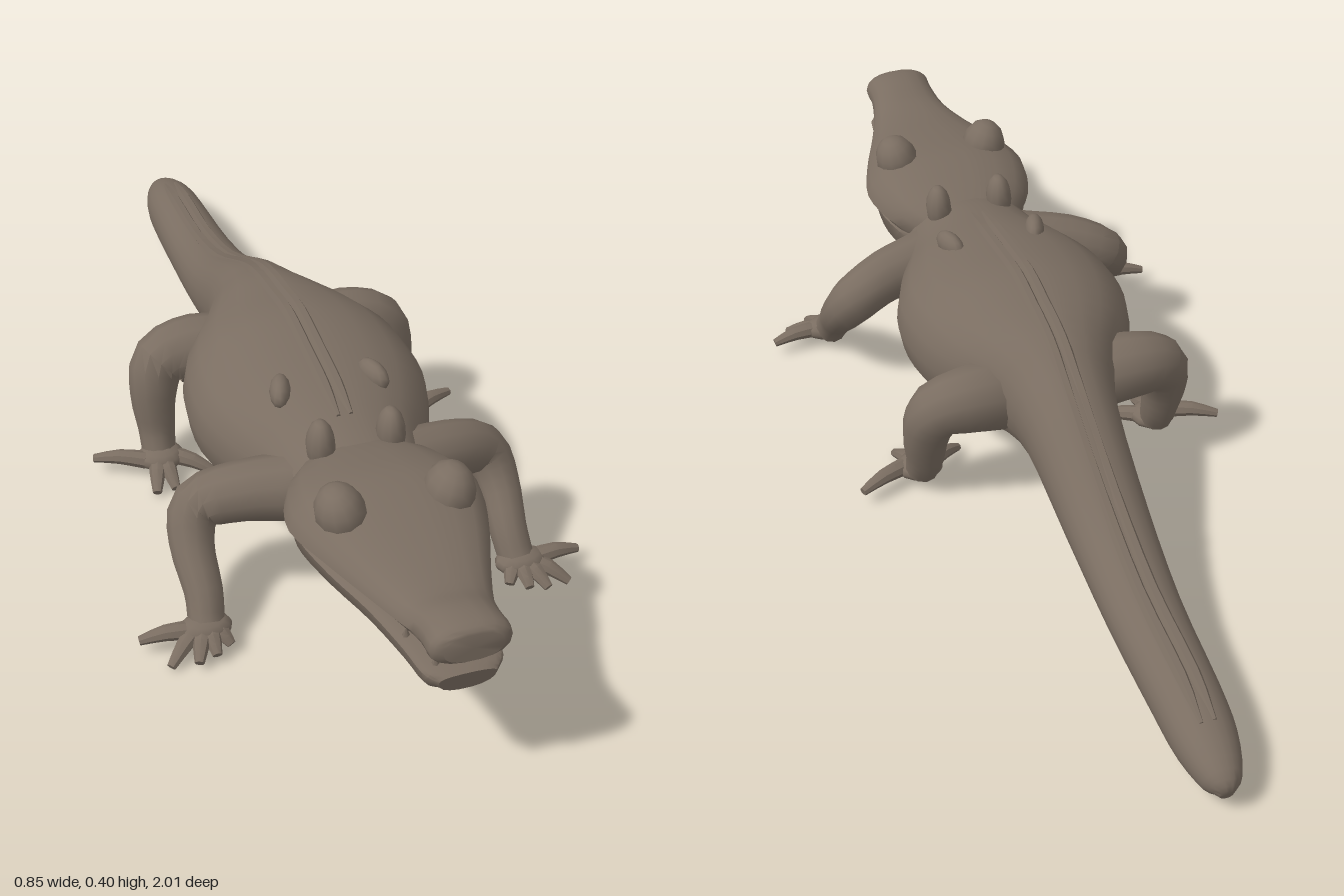
import * as THREE from 'three';
import { toCreasedNormals } from 'three/addons/utils/BufferGeometryUtils.js';

const UP = new THREE.Vector3(0, 1, 0);
const LEG_REF = new THREE.Vector3(0, 0.7, 1).normalize();

// Smooth skin through keys [x, y, z, halfWidth, heightAbove, depthBelow]
function loft(keys, { ref = UP, sides = 16, steps = 3, power = 1 } = {}) {
  const path = new THREE.CatmullRomCurve3(keys.map(k => new THREE.Vector3(k[0], k[1], k[2])), false, 'catmullrom', 0.5);
  const size = new THREE.CatmullRomCurve3(keys.map(k => new THREE.Vector3(k[3], k[4] ?? k[3], k[5] ?? k[4] ?? k[3])), false, 'catmullrom', 0.5);
  const rings = (keys.length - 1) * steps;
  const pos = [], idx = [];
  const soft = v => Math.sign(v) * Math.pow(Math.abs(v), power);
  for (let i = 0; i <= rings; i++) {
    const t = i / rings;
    const p = path.getPoint(t), r = size.getPoint(t), dir = path.getTangent(t);
    const side = new THREE.Vector3().crossVectors(ref, dir).normalize();
    const up = new THREE.Vector3().crossVectors(dir, side);
    for (let j = 0; j < sides; j++) {
      const a = j / sides * Math.PI * 2, s = soft(Math.sin(a));
      const q = p.clone().addScaledVector(side, soft(Math.cos(a)) * r.x).addScaledVector(up, s * (s > 0 ? r.y : r.z));
      pos.push(q.x, q.y, q.z);
    }
  }
  for (let i = 0; i < rings; i++) for (let j = 0; j < sides; j++) {
    const a = i * sides + j, b = i * sides + (j + 1) % sides;
    idx.push(a, b, a + sides, b, b + sides, a + sides);
  }
  // end caps
  const first = pos.length / 3, last = rings * sides;
  pos.push(...keys[0].slice(0, 3), ...keys[keys.length - 1].slice(0, 3));
  for (let j = 0; j < sides; j++) {
    const k = (j + 1) % sides;
    idx.push(first, k, j, first + 1, last + j, last + k);
  }
  const g = new THREE.BufferGeometry();
  g.setAttribute('position', new THREE.Float32BufferAttribute(pos, 3));
  g.setIndex(idx);
  return toCreasedNormals(g, 0.7);
}

export function createModel() {
  const model = new THREE.Group();
  model.name = 'crocodile';
  const hide = new THREE.MeshStandardMaterial({ color: 0x7a6d61 });
  hide.name = 'brown hide';

  const add = (name, geometry, parent = model) => {
    const m = new THREE.Mesh(geometry, hide);
    m.name = name;
    parent.add(m);
    return m;
  };
  const lump = (name, x, y, z, rx, ry, rz, parent = model) => {
    const m = add(name, new THREE.SphereGeometry(1, 12, 8), parent);
    m.position.set(x, y, z);
    m.scale.set(rx, ry, rz);
    return m;
  };

  // Tail, belly and neck in one skin
  const body = [
    [0.02, 0.05, -1, 0.012, 0.014, 0.014],
    [0.018, 0.058, -0.975, 0.036, 0.036, 0.032],
    [0.015, 0.07, -0.9, 0.056, 0.053, 0.056],
    [0.012, 0.08, -0.8, 0.063, 0.06, 0.066],
    [0.01, 0.1, -0.6, 0.07, 0.06, 0.066],
    [0.005, 0.145, -0.4, 0.08, 0.075, 0.075],
    [0.003, 0.22, -0.2, 0.094, 0.1, 0.11],
    [0, 0.235, -0.1, 0.125, 0.125, 0.125],
    [0, 0.24, 0, 0.19, 0.138, 0.142],
    [0, 0.24, 0.09, 0.223, 0.15, 0.158],
    [0, 0.235, 0.2, 0.228, 0.143, 0.158],
    [0, 0.23, 0.3, 0.198, 0.135, 0.14],
    [0, 0.23, 0.38, 0.16, 0.122, 0.122],
    [0, 0.235, 0.46, 0.135, 0.105, 0.1],
    [0, 0.24, 0.54, 0.12, 0.075, 0.07],
  ];
  add('body', loft(body, { sides: 22, power: 0.93 }));

  // Skull with upper jaw, and lower jaw, parted by the narrow open mouth
  add('upperJaw', loft([
    [0, 0.27, 0.45, 0.11, 0.065, 0.05],
    [0, 0.288, 0.51, 0.155, 0.065, 0.03],
    [0, 0.298, 0.6, 0.176, 0.073, 0.018],
    [0, 0.306, 0.7, 0.15, 0.054, 0.014],
    [0, 0.306, 0.8, 0.112, 0.04, 0.012],
    [0, 0.31, 0.88, 0.084, 0.038, 0.014],
    [0, 0.324, 0.94, 0.071, 0.044, 0.025],
    [0, 0.332, 0.985, 0.071, 0.039, 0.034],
    [0, 0.333, 1, 0.052, 0.026, 0.025],
  ], { sides: 18, power: 0.85 }));
  add('lowerJaw', loft([
    [0, 0.25, 0.44, 0.11, 0.04, 0.105],
    [0, 0.27, 0.52, 0.15, 0.02, 0.11],
    [0, 0.276, 0.6, 0.16, 0.012, 0.085],
    [0, 0.274, 0.7, 0.138, 0.012, 0.07],
    [0, 0.27, 0.8, 0.104, 0.012, 0.063],
    [0, 0.266, 0.9, 0.08, 0.012, 0.056],
    [0, 0.264, 0.96, 0.07, 0.012, 0.05],
    [0, 0.258, 0.985, 0.05, 0.012, 0.032],
  ], { sides: 18, power: 0.85 }));

  const toe = (foot, from, tip) => {
    const mid = from.map((v, i) => (v + tip[i]) / 2);
    mid[1] += 0.006;
    add('toe', loft([[...from, 0.019, 0.017], [...mid, 0.016, 0.014], [...tip, 0.009, 0.008]], { sides: 8, steps: 2 }), foot);
  };

  for (const s of [1, -1]) {
    const label = s > 0 ? 'left' : 'right';

    // Paired ridge along the spine
    add(label + 'SpineRidge', loft(body.slice(2, 13).map(([x, y, z, w, h]) =>
      [x + s * 0.012, y + h - 0.001, z, z < -0.85 || z > 0.35 ? 0.004 : 0.012]), { sides: 6 }));

    // Eyes, sunk into the skull and leaning outwards
    lump(label + 'Eye', s * 0.098, 0.352, 0.64, 0.045, 0.054, 0.053).rotation.z = -s * 0.25;

    // Armour knobs
    lump(label + 'NeckKnob', s * 0.066, 0.342, 0.44, 0.026, 0.052, 0.034);
    lump(label + 'BackKnob', s * 0.09, 0.354, 0.28, 0.02, 0.027, 0.042).rotation.y = s * 0.3;

    // Small teeth along the lower jaw
    for (const [x, z] of [[0.045, 0.955], [0.067, 0.88]]) {
      const tooth = add(label + 'Tooth', new THREE.ConeGeometry(0.008, 0.024, 6));
      tooth.position.set(s * x, 0.282, z);
    }

    // Front leg and splayed foot
    const front = new THREE.Group();
    front.name = label + 'FrontLeg';
    model.add(front);
    add('limb', loft([
      [s * 0.1, 0.24, 0.415, 0.065],
      [s * 0.2, 0.233, 0.39, 0.056],
      [s * 0.275, 0.203, 0.37, 0.05],
      [s * 0.297, 0.15, 0.405, 0.042],
      [s * 0.295, 0.09, 0.47, 0.036],
      [s * 0.3, 0.045, 0.505, 0.034],
    ], { ref: LEG_REF, sides: 12 }), front);
    lump('palm', s * 0.305, 0.042, 0.515, 0.05, 0.024, 0.035, front);
    for (const tip of [[0.425, 0.033, 0.505], [0.383, 0.013, 0.567], [0.335, 0.022, 0.582], [0.3, 0.025, 0.575], [0.268, 0.025, 0.555]])
      toe(front, [s * (0.3 + (tip[0] - 0.3) * 0.25), 0.042, 0.515], [s * tip[0], tip[1], tip[2]]);

    // Hind leg and foot
    const hind = new THREE.Group();
    hind.name = label + 'HindLeg';
    model.add(hind);
    add('limb', loft([
      [s * 0.07, 0.22, -0.055, 0.075],
      [s * 0.16, 0.235, -0.07, 0.068],
      [s * 0.228, 0.222, -0.066, 0.057],
      [s * 0.248, 0.16, -0.05, 0.047],
      [s * 0.248, 0.09, -0.035, 0.038],
      [s * 0.25, 0.045, -0.015, 0.034],
    ], { ref: LEG_REF, sides: 12 }), hind);
    lump('sole', s * 0.25, 0.04, 0, 0.047, 0.024, 0.042, hind);
    for (const tip of [[0.378, 0.035, -0.038], [0.28, 0.015, 0.083], [0.242, 0.017, 0.083], [0.155, 0.018, 0.055]])
      toe(hind, [s * (0.25 + (tip[0] - 0.25) * 0.25), 0.04, 0.005], [s * tip[0], tip[1], tip[2]]);
  }
  return model;
}
